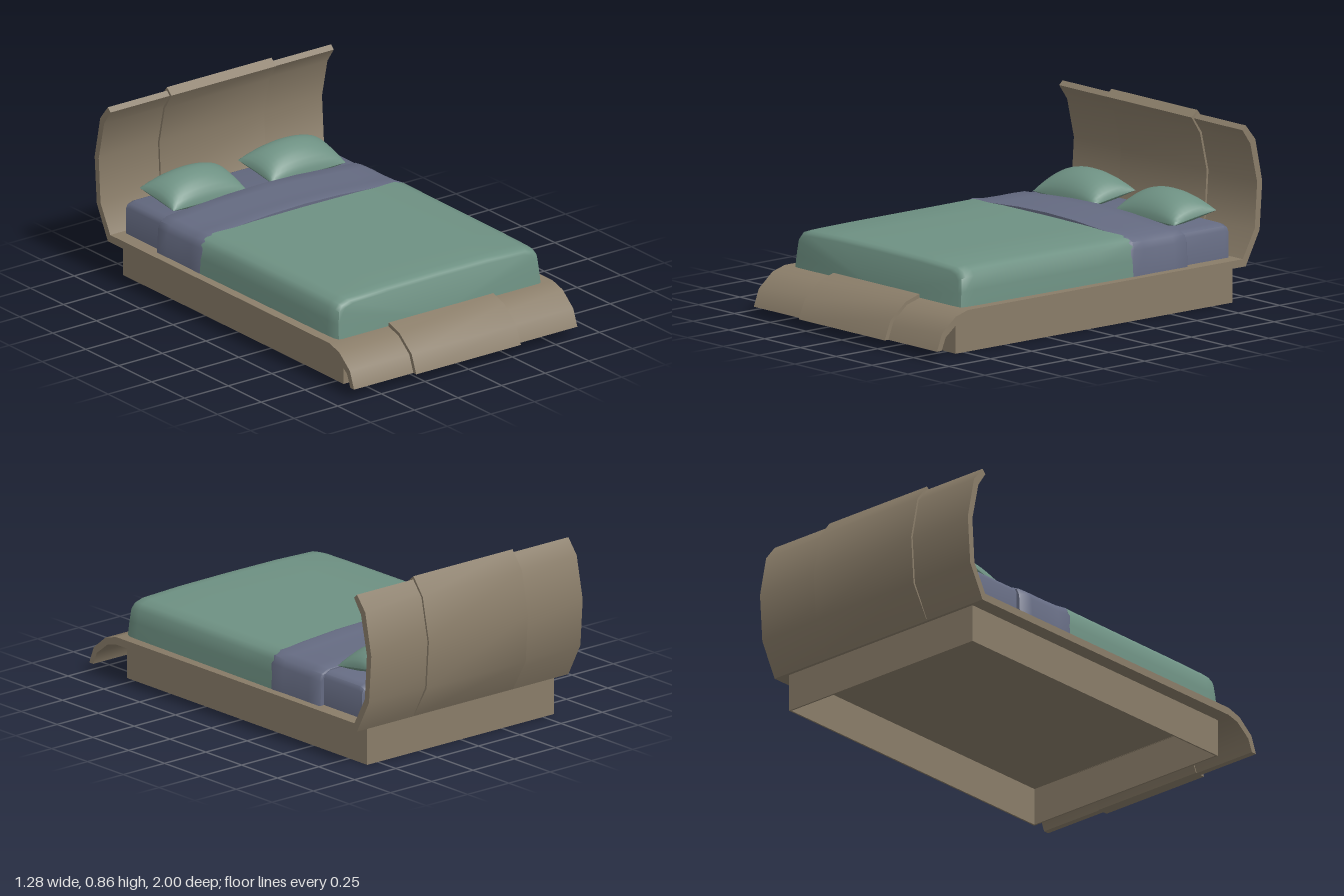
import * as THREE from 'three';
import { toCreasedNormals } from 'three/addons/utils/BufferGeometryUtils.js';

const FLOOR = 0.2; // bedding starts inside the deck thickness

// Extrude a side profile of [z, y] points across the width of the bed
function sideExtrude(points, width) {
  const shape = new THREE.Shape(points.map(([z, y]) => new THREE.Vector2(z, y)));
  const geo = new THREE.ExtrudeGeometry(shape, { depth: width, bevelEnabled: false });
  geo.rotateY(-Math.PI / 2).translate(width / 2, 0, 0);
  return toCreasedNormals(geo, 0.7);
}

// Loft a mirrored arch (right half given, from centre down) through stations [z, width, height, lean]
function loft(half, stations) {
  const arch = [...half.slice(1).reverse().map(([x, y]) => [-x, y]), ...half];
  const n = arch.length, pos = [], idx = [];
  const put = (x, y, [z, w, h, lean = 0]) => {
    const py = FLOOR + (y - FLOOR) * h;
    pos.push(x * w, py, z + lean * (0.4 - py));
  };
  stations.forEach((s, i) => {
    arch.forEach(([x, y]) => put(x, y, s));
    if (i === 0) return;
    for (let j = 0; j < n - 1; j++) {
      const a = (i - 1) * n + j, b = i * n + j;
      idx.push(a, b, b + 1, a, b + 1, a + 1);
    }
  });
  // end caps
  const last = (stations.length - 1) * n, c = stations.length * n;
  put(0, FLOOR, stations[0]);
  put(0, FLOOR, stations[stations.length - 1]);
  for (let j = 0; j < n - 1; j++) {
    idx.push(c, j, j + 1, c + 1, last + j + 1, last + j);
  }
  const geo = new THREE.BufferGeometry();
  geo.setAttribute('position', new THREE.Float32BufferAttribute(pos, 3));
  geo.setIndex(idx);
  return toCreasedNormals(geo, 0.8);
}

// One face of a pillow: a sheet puffed up (or down) from a tilted, pinched rim
function pillowFace(dir, puff) {
  const geo = new THREE.PlaneGeometry(2, 2, 18, 14).rotateX(-dir * Math.PI / 2);
  const p = geo.attributes.position;
  for (let i = 0; i < p.count; i++) {
    const u = Math.sin(p.getX(i) * Math.PI / 2), v = Math.sin(p.getZ(i) * Math.PI / 2);
    const bulge = Math.sqrt(Math.max(0, (1 - u * u) * (1 - v * v)));
    const pinch = 1 - 0.03 * (1 - v * v);
    p.setXYZ(i, u * (0.218 - 0.006 * v) * pinch, 0.41 - 0.02 * v + dir * puff * bulge, -0.707 + v * 0.121);
  }
  geo.computeVertexNormals();
  return geo;
}

export function createModel() {
  const model = new THREE.Group();
  const material = (name, color) => {
    const m = new THREE.MeshStandardMaterial({ color });
    m.name = name;
    return m;
  };
  const wood = material('brown wood', 0x8a7d69);
  const green = material('sage green fabric', 0x6e9183);
  const slate = material('slate blue fabric', 0x656b82);

  const add = (name, geo, mat, parent = model) => {
    const mesh = new THREE.Mesh(geo, mat);
    mesh.name = name;
    parent.add(mesh);
    return mesh;
  };

  // Plinth: four thin walls, open underneath
  const rect = (T, x, z0, z1) => new T([[-x, -z1], [x, -z1], [x, -z0], [-x, -z0]].map(q => new THREE.Vector2(...q)));
  const ring = rect(THREE.Shape, 0.565, -0.875, 0.8);
  ring.holes.push(rect(THREE.Path, 0.557, -0.867, 0.792));
  add('plinth', new THREE.ExtrudeGeometry(ring, { depth: 0.182, bevelEnabled: false }).rotateX(-Math.PI / 2), wood);

  // Deck with curved headboard and footboard in one sweep
  add('frame', sideExtrude([
    [0.79, 0.18], [0.85, 0.165], [0.925, 0.107], [0.95, 0.047],
    [0.978, 0.047], [0.947, 0.128], [0.865, 0.195], [0.79, 0.216],
    [-0.872, 0.216], [-0.945, 0.35], [-0.959, 0.566], [-0.918, 0.75], [-0.87, 0.82],
    [-0.89, 0.84], [-0.948, 0.768], [-0.99, 0.566], [-0.974, 0.34], [-0.89, 0.18],
  ], 1.28), wood);

  // Raised centre panels
  add('headboardPanel', sideExtrude([
    [-0.865, 0.218], [-0.935, 0.352], [-0.948, 0.566], [-0.908, 0.745], [-0.857, 0.825],
    [-0.892, 0.856], [-0.957, 0.772], [-1.0, 0.566], [-0.984, 0.337], [-0.896, 0.185],
  ], 0.6), wood);
  add('footboardPanel', sideExtrude([
    [0.79, 0.178], [0.846, 0.16], [0.92, 0.103], [0.945, 0.047],
    [1.0, 0.047], [0.965, 0.135], [0.872, 0.21], [0.79, 0.235],
  ], 0.6), wood);

  // Mattress
  add('mattress', loft(
    [[0, 0.378], [0.53, 0.376], [0.56, 0.365], [0.57, 0.345], [0.57, FLOOR]],
    [[-0.853, 0.985, 0.88], [-0.846, 1, 0.95], [-0.825, 1, 1], [-0.3, 1, 1]],
  ), slate);

  // Folded-back sheet
  add('foldedSheet', loft(
    [[0, 0.424], [0.2, 0.419], [0.4, 0.405], [0.54, 0.395], [0.58, 0.375], [0.595, 0.34], [0.602, FLOOR]],
    [[-0.58, 0.985, 0.92], [-0.572, 0.995, 0.94], [-0.5, 0.995, 0.95], [-0.4, 0.993, 0.95],
      [-0.32, 0.995, 0.96], [-0.255, 1, 1], [-0.238, 0.993, 0.98]],
  ), slate);

  // Duvet with rounded foot end
  add('duvet', loft(
    [[0, 0.406], [0.3, 0.404], [0.52, 0.396], [0.565, 0.382], [0.585, 0.355], [0.592, 0.29], [0.597, FLOOR]],
    [[-0.25, 1.005, 1], [-0.05, 1, 1], [0.5, 0.993, 1], [0.7, 0.99, 0.99, 0.03], [0.745, 0.985, 0.975, 0.07],
      [0.762, 0.97, 0.93, 0.1], [0.767, 0.94, 0.87, 0.1]],
  ), green);

  // Pillows
  for (const [name, side] of [['leftPillow', 1], ['rightPillow', -1]]) {
    const pillow = new THREE.Group();
    pillow.name = name;
    pillow.position.x = side * 0.282;
    add('pillowTop', pillowFace(1, 0.1), green, pillow);
    add('pillowBottom', pillowFace(-1, 0.04), green, pillow);
    model.add(pillow);
  }

  return model;
}
